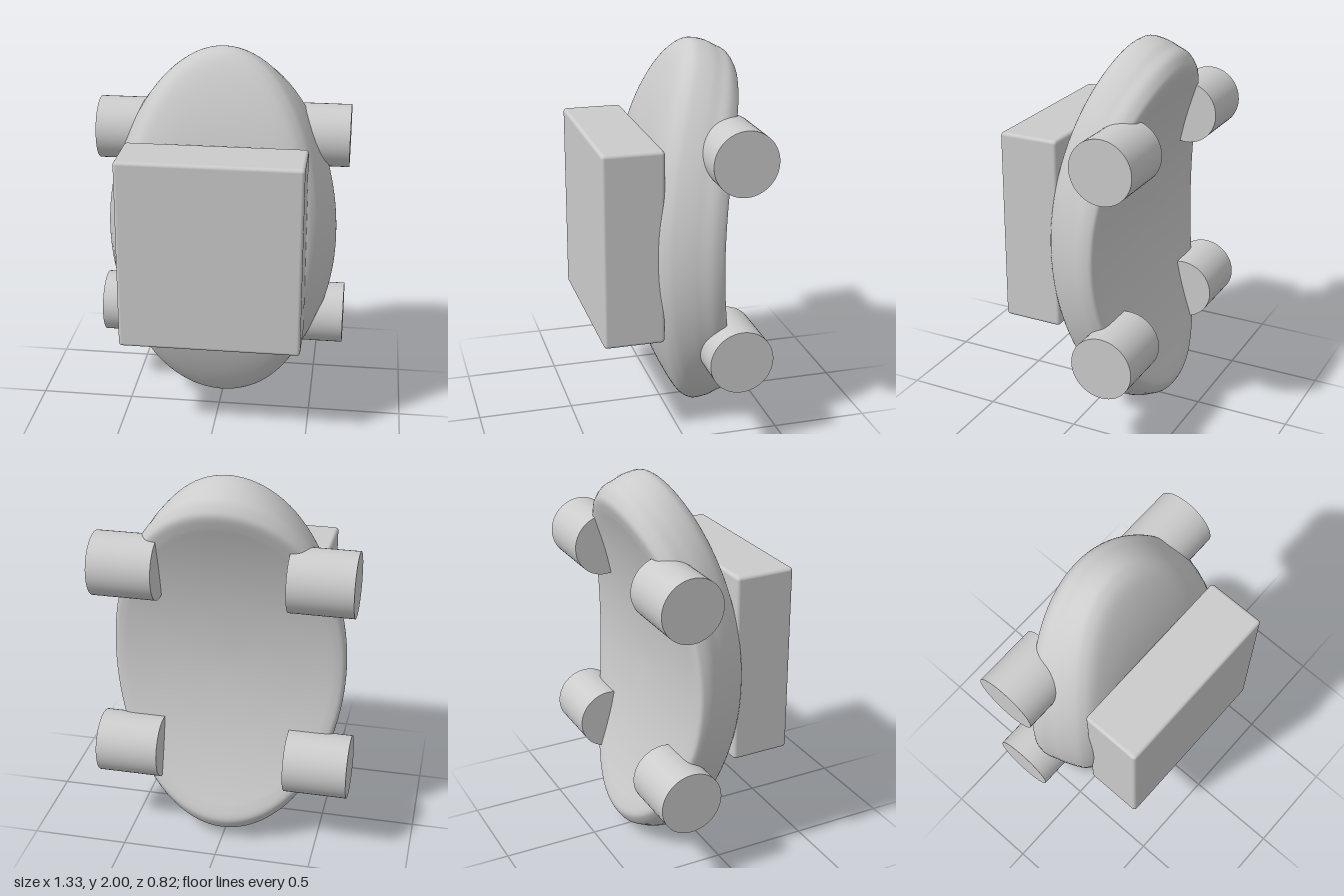
import * as THREE from 'three';
import { mergeVertices } from 'three/addons/utils/BufferGeometryUtils.js';
import { RoundedBoxGeometry } from 'three/addons/geometries/RoundedBoxGeometry.js';

const material = new THREE.MeshStandardMaterial({ color: 0xcccccc });

function addPart(group, name, geometry, x = 0, y = 0, z = 0) {
  const mesh = new THREE.Mesh(geometry, material);
  mesh.name = name;
  mesh.position.set(x, y, z);
  group.add(mesh);
  return mesh;
}

// Oval slab: a lathed disc (unit radius) stretched to an oval and bent backwards at both ends
function shellGeometry() {
  const profile = new THREE.SplineCurve([
    [0, -0.18], [0.45, -0.18], [0.8, -0.18], [0.89, -0.178], [0.95, -0.168], [0.98, -0.14],
    [1, -0.1], [1, -0.05], [1, 0], [0.985, 0.065], [0.96, 0.1], [0.9, 0.13],
    [0.78, 0.145], [0.6, 0.153], [0.3, 0.155], [0, 0.155],
  ].map(([r, t]) => new THREE.Vector2(r, t)));
  const points = profile.getPoints(60);
  points[0].x = points[60].x = 0;

  let geometry = new THREE.LatheGeometry(points, 96);
  geometry.deleteAttribute('uv');
  geometry.deleteAttribute('normal');

  const bendRadius = 2.08, halfAngle = 0.491;
  const p = geometry.attributes.position;
  for (let i = 0; i < p.count; i++) {
    const t = p.getY(i);
    const angle = -p.getZ(i) * halfAngle;
    const radius = bendRadius + t;
    p.setXYZ(i,
      p.getX(i) * (0.572 - 0.37 * t), // sides flare towards the back
      1 + radius * Math.sin(angle),
      radius * Math.cos(angle) - bendRadius);
  }
  geometry = mergeVertices(geometry, 1e-5);
  geometry.computeVertexNormals();
  return geometry;
}

export function createModel() {
  const model = new THREE.Group();
  model.name = 'model';

  addPart(model, 'curvedShell', shellGeometry());

  // Block on the front face
  addPart(model, 'frontBlock', new RoundedBoxGeometry(0.94, 1.01, 0.315, 3, 0.018), -0.005, 1.05, 0.253);

  // Four stubby cylinders on the sides, lying along x
  const stub = new THREE.CylinderGeometry(0.165, 0.165, 0.33, 48).rotateZ(Math.PI / 2);
  for (const [side, sign] of [['left', 1], ['right', -1]]) {
    addPart(model, side + 'UpperCylinder', stub, sign * 0.5, 1.52, -0.248);
    addPart(model, side + 'LowerCylinder', stub, sign * 0.5, 0.485, -0.248);
  }
  return model;
}
